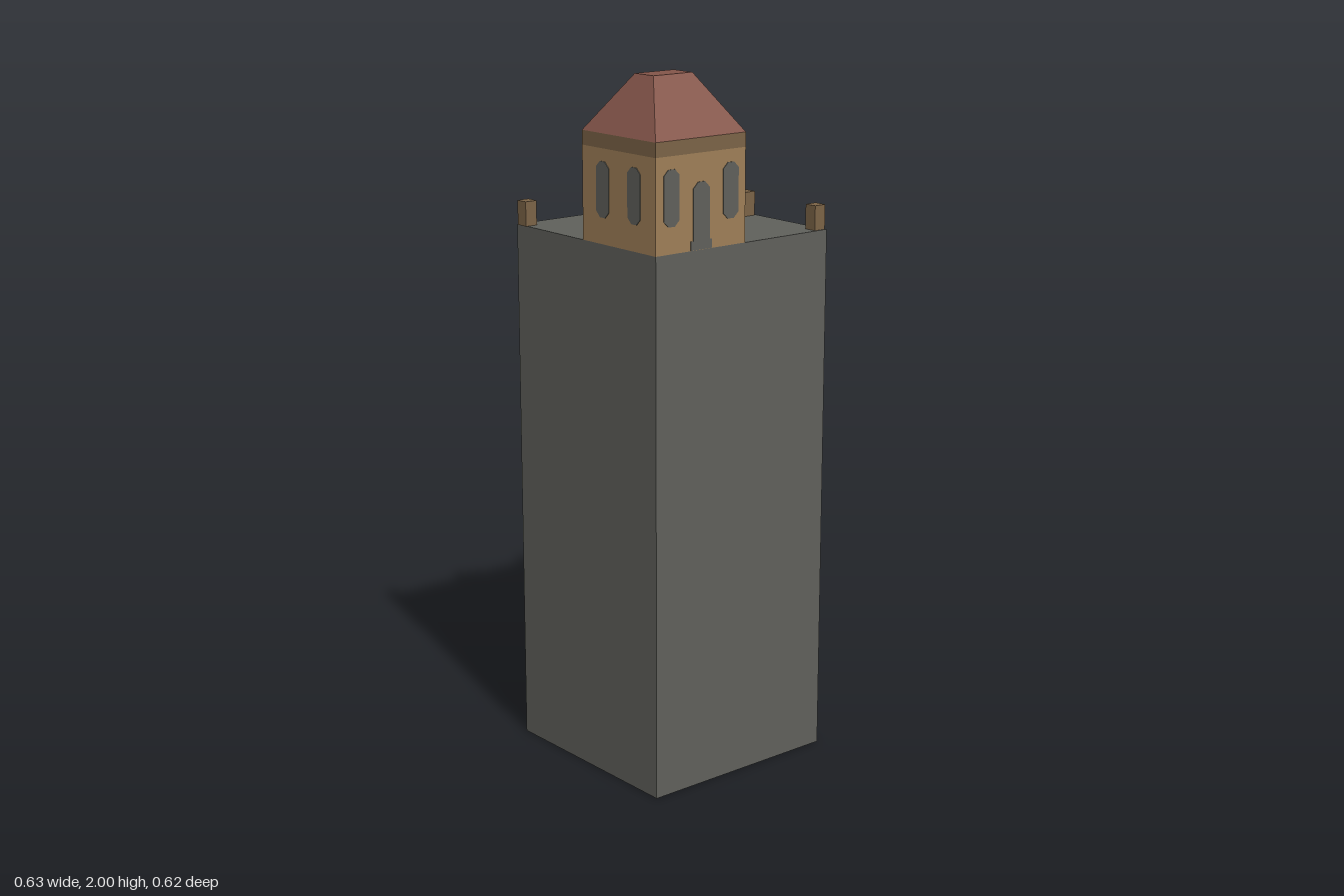
import * as THREE from 'three';

const mat = (name, color) => {
  const m = new THREE.MeshStandardMaterial({ color });
  m.name = name;
  return m;
};
const stone = mat('grey stone', 0x60615c);
const plaster = mat('tan plaster', 0xa08058);
const timber = mat('brown trim', 0x7c6447);
const tile = mat('red roof tile', 0x85564a);

function add(parent, name, geometry, material, x, y, z) {
  const mesh = new THREE.Mesh(geometry, material);
  mesh.name = name;
  mesh.position.set(x, y, z);
  parent.add(mesh);
  return mesh;
}

// Box given by its base height and centre
function block(parent, name, material, w, h, d, x, y0, z) {
  return add(parent, name, new THREE.BoxGeometry(w, h, d), material, x, y0 + h / 2, z);
}

// Thin plate with cut upper corners, and cut lower corners for windows
function opening(w, h, isDoor) {
  const a = w / 2, c = w * 0.3, s = new THREE.Shape();
  if (isDoor) {
    s.moveTo(-a - 0.008, 0);
    s.lineTo(a + 0.008, 0);
    s.lineTo(a + 0.008, 0.025);
    s.lineTo(a, 0.025);
  } else {
    s.moveTo(-a + c, 0);
    s.lineTo(a - c, 0);
    s.lineTo(a, c);
  }
  s.lineTo(a, h - c);
  s.lineTo(a - c, h);
  s.lineTo(-a + c, h);
  s.lineTo(-a, h - c);
  if (isDoor) {
    s.lineTo(-a, 0.025);
    s.lineTo(-a - 0.008, 0.025);
  } else {
    s.lineTo(-a, c);
  }
  return new THREE.ExtrudeGeometry(s, { depth: 0.003, bevelEnabled: false });
}

export function createModel() {
  const model = new THREE.Group();
  model.name = 'tower with rooftop house';

  // Tower and house are turned very slightly
  const tower = new THREE.Group();
  tower.name = 'tower';
  tower.rotation.y = -0.0125;
  model.add(tower);
  const deck = 1.545;
  block(tower, 'towerShaft', stone, 0.617, deck, 0.617, 0, 0, 0);

  // House on the front corner of the deck
  const house = new THREE.Group();
  house.name = 'house';
  house.position.set(-0.1525, deck, 0.1525);
  tower.add(house);
  const size = 0.312, half = size / 2;
  block(house, 'houseWalls', plaster, size, 0.26, size, 0, 0, 0);
  block(house, 'cornice', timber, size, 0.04, size, 0, 0.26, 0);

  // Hipped roof with a flat top
  const roof = new THREE.BoxGeometry(size, 0.155, size);
  const p = roof.attributes.position;
  for (let i = 0; i < p.count; i++) {
    if (p.getY(i) > 0) p.setXYZ(i, p.getX(i) * 0.43, p.getY(i), p.getZ(i) * 0.25);
  }
  roof.computeVertexNormals();
  add(house, 'roof', roof, tile, 0, 0.3775, 0);
  block(house, 'chimney', stone, 0.057, 0.105, 0.058, half - 0.0285, 0.3, -half + 0.029);

  // Front and back have a door and two windows, the sides two windows
  for (let i = 0; i < 4; i++) {
    const wall = new THREE.Group();
    wall.name = 'wallOpenings';
    wall.rotation.y = i * Math.PI / 2;
    house.add(wall);
    const hasDoor = i % 2 === 0;
    const offset = hasDoor ? 0.103 : 0.067;
    for (const side of [-1, 1]) {
      add(wall, 'window', opening(0.054, 0.152, false), stone, side * offset, 0.073, half - 0.001);
    }
    if (hasDoor) add(wall, 'door', opening(0.058, 0.182, true), stone, 0, 0.001, half - 0.001);
  }

  // Short posts along the open edges of the deck
  const posts = [[-0.291, -0.283], [0.003, -0.283], [0.282, -0.283], [0.282, 0], [0.282, 0.289]];
  for (const [x, z] of posts) block(model, 'post', timber, 0.038, 0.07, 0.038, x, deck, z);

  return model;
}
